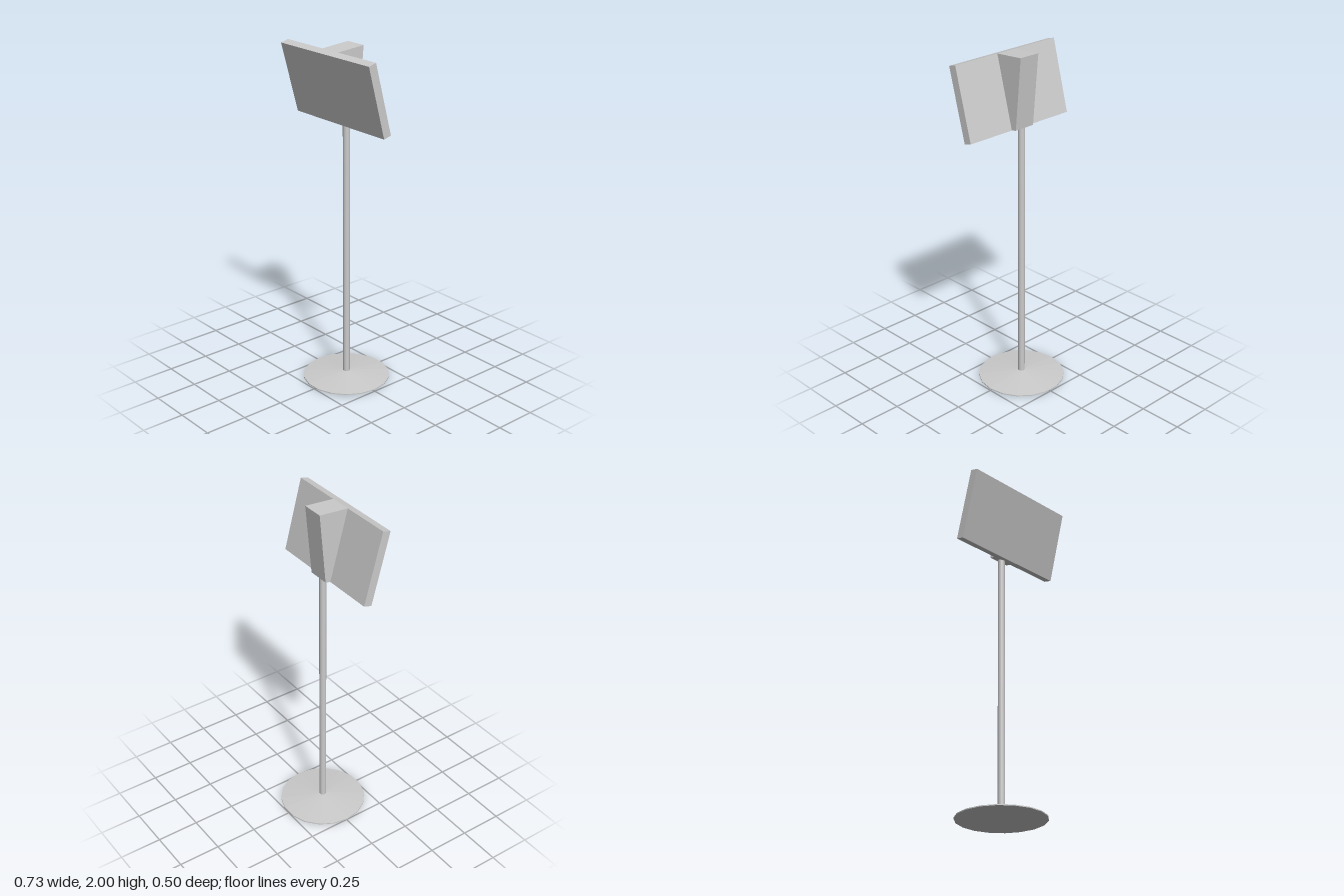
import * as THREE from 'three';

const grey = new THREE.MeshStandardMaterial({ color: 0xcccccc });
const faceted = new THREE.MeshStandardMaterial({ color: 0xcccccc, flatShading: true });

// Extrudes a side profile of [z, y] points across the width, centred on x = 0
function prism(name, profile, width) {
  const shape = new THREE.Shape(profile.map(([z, y]) => new THREE.Vector2(z, y)));
  const geometry = new THREE.ExtrudeGeometry(shape, { depth: width, bevelEnabled: false });
  geometry.translate(0, 0, -width / 2).rotateY(-Math.PI / 2);
  const mesh = new THREE.Mesh(geometry, faceted);
  mesh.name = name;
  mesh.position.x = -0.001;
  return mesh;
}

export function createModel() {
  const model = new THREE.Group();
  model.name = 'panelStand';

  // Shallow disc foot, slightly domed above and below
  const footProfile = [[0, 0], [0.2545, 0.009], [0.2545, 0.015], [0, 0.04]]
    .map(([r, y]) => new THREE.Vector2(r, y));
  const foot = new THREE.Mesh(new THREE.LatheGeometry(footProfile, 18, Math.PI / 2), faceted);
  foot.name = 'foot';
  foot.position.x = -0.0035;
  model.add(foot);

  // Upright pole
  const pole = new THREE.Mesh(new THREE.CylinderGeometry(0.02, 0.02, 1.56, 18), grey);
  pole.name = 'pole';
  pole.position.set(-0.0035, 0.81, 0);
  model.add(pole);

  // Leaning panel
  model.add(prism('panel', [[0.053, 1.565], [0.163, 1.973], [0.115, 1.986], [0.005, 1.578]], 0.728));

  // Wedge bracket joining the panel to the pole
  model.add(prism('bracket', [[0.005, 1.578], [0.115, 1.986], [-0.064, 2.0], [-0.026, 1.585]], 0.13));

  return model;
}
